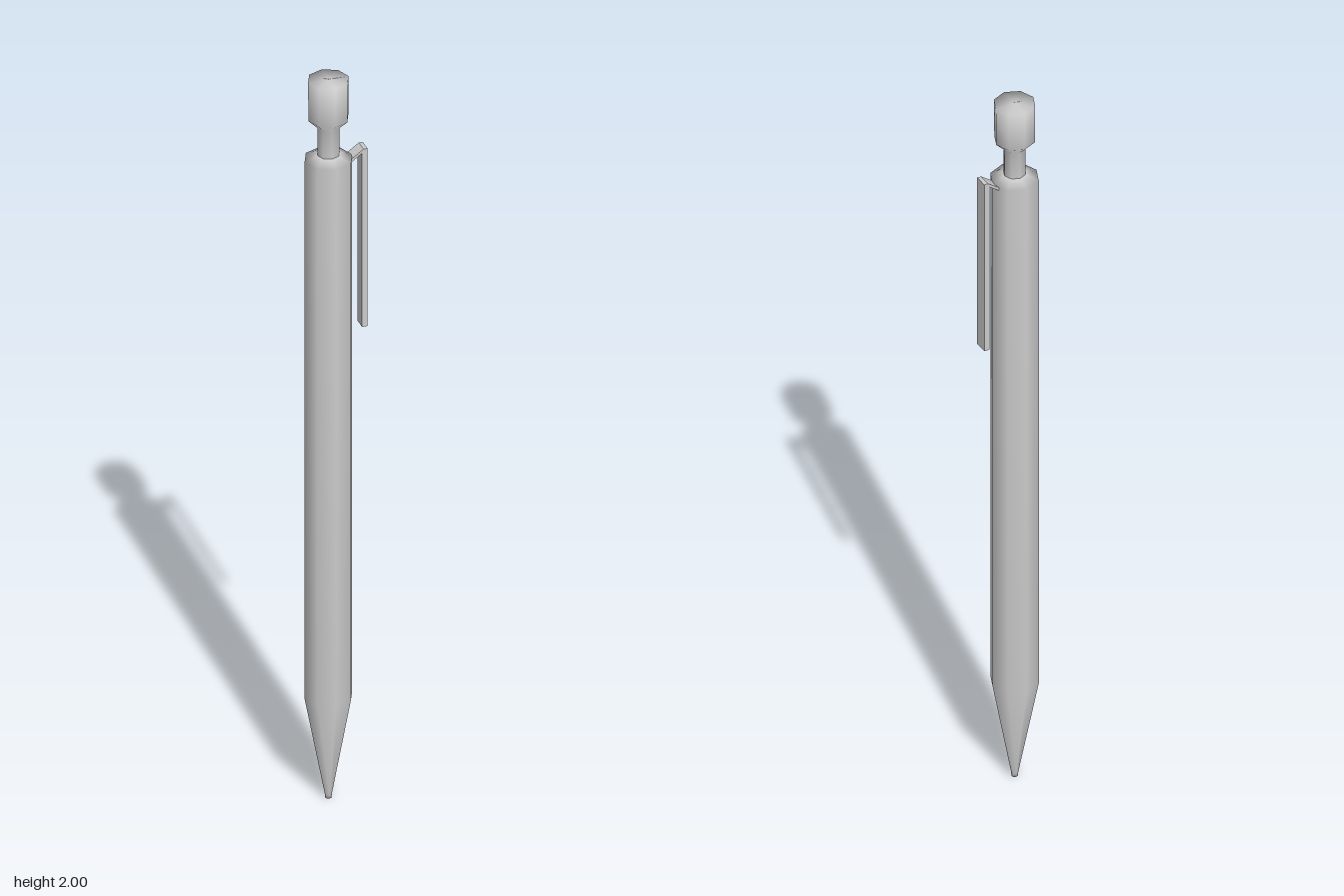
import * as THREE from 'three';

const SIDES = 8;
const AXIS_X = -0.017; // the barrel sits off-centre to make room for the clip

export function createModel() {
  const pen = new THREE.Group();
  pen.name = 'mechanicalPencil';
  const material = new THREE.MeshStandardMaterial({ color: 0xcccccc });

  const add = (name, geometry) => {
    const mesh = new THREE.Mesh(geometry, material);
    mesh.name = name;
    pen.add(mesh);
    return mesh;
  };

  // Eight-sided turned part from [radius, height] pairs, listed bottom to top
  const turned = (name, profile) => {
    const points = profile.map(([r, y]) => new THREE.Vector2(r, y));
    add(name, new THREE.LatheGeometry(points, SIDES)).position.x = AXIS_X;
  };

  // Barrel with its tapered tip and sloped shoulder
  turned('barrel', [
    [0, 0], [0.008, 0], [0.009, 0.01], [0.061, 0.285],
    [0.061, 1.78], [0.03, 1.793], [0.027, 1.793],
  ]);

  // Push button: narrow neck flaring into the cap
  turned('pushButton', [
    [0.028, 1.785], [0.028, 1.87], [0.051, 1.893], [0.052, 2], [0, 2],
  ]);

  // Clip: slanted arm from the shoulder, then a long flat strip
  const outline = [
    [0.03, 1.764], [0.063, 1.789], [0.063, 1.305], [0.077, 1.305],
    [0.077, 1.8], [0.067, 1.8], [0.03, 1.773],
  ].map(([x, y]) => new THREE.Vector2(x, y));
  const width = 0.035;
  const clip = new THREE.ExtrudeGeometry(new THREE.Shape(outline), { depth: width, bevelEnabled: false });
  clip.translate(0, 0, -width / 2);
  add('clip', clip);

  return pen;
}
